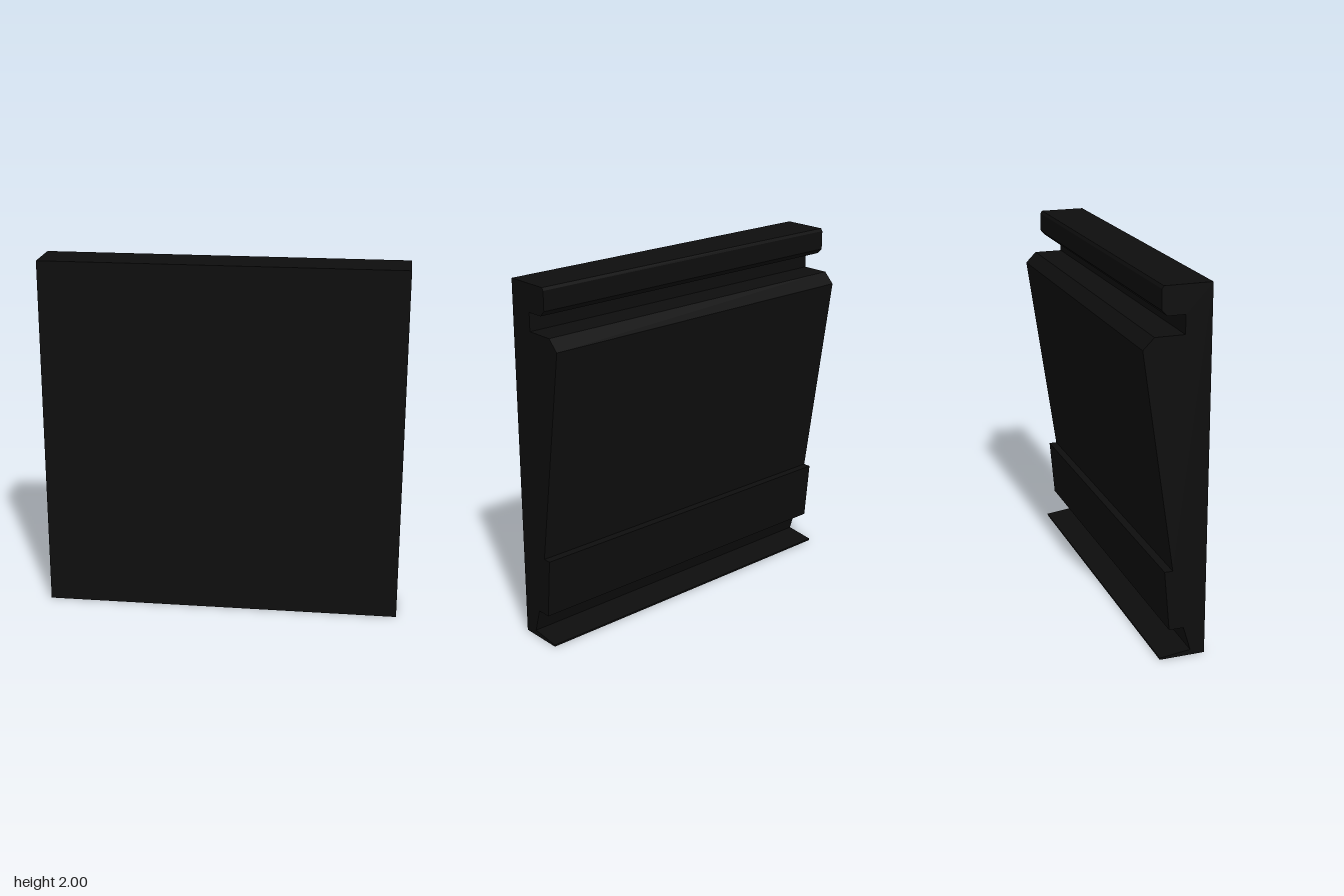
import * as THREE from 'three';

const WIDTH = 2;

// Side profile as [z, y]: flat face at +z, rail grooves and lips at the back
const PROFILE = [
  [0.18, 0], [0.18, 2],
  [-0.075, 2], [-0.085, 1.985], [-0.085, 1.88], [-0.055, 1.85], // top rail
  [0.04, 1.85], [0.04, 1.75],                                   // groove
  [-0.12, 1.75], [-0.18, 1.69], [-0.005, 0.5],                  // sloping back
  [-0.05, 0.5], [-0.02, 0.165],                                 // lower band
  [0.06, 0.165], [0.1, 0.03], [-0.07, 0.01], [-0.07, 0],        // undercut and foot lip
];

export function createModel() {
  const model = new THREE.Group();
  model.name = 'profiledPanel';

  const black = new THREE.MeshStandardMaterial({ color: 0x0d0d0d });
  black.name = 'black';

  // Extrude the profile across the full width, then turn it to run along x
  const shape = new THREE.Shape(PROFILE.map(([z, y]) => new THREE.Vector2(-z, y)));
  const geometry = new THREE.ExtrudeGeometry(shape, { depth: WIDTH, bevelEnabled: false });
  geometry.translate(0, 0, -WIDTH / 2);
  geometry.rotateY(Math.PI / 2);

  const panel = new THREE.Mesh(geometry, black);
  panel.name = 'panel';
  model.add(panel);
  return model;
}
